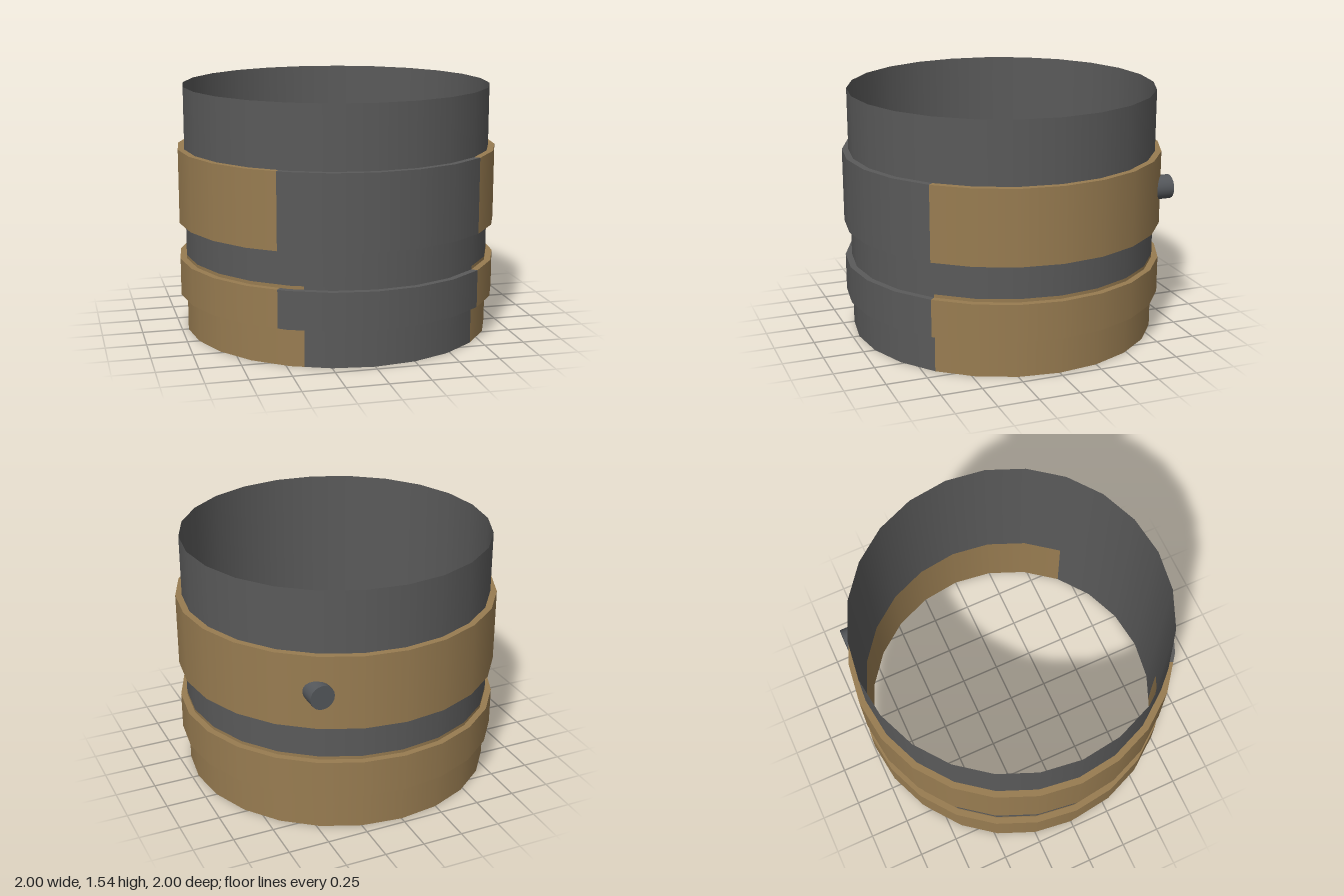
import * as THREE from 'three';

const SIDES = 24;
const BODY_R = 0.96, BAND_R = 1.0;

const grey = new THREE.MeshStandardMaterial({ color: 0x5a5a5a, side: THREE.DoubleSide });
grey.name = 'dark grey';
const brown = new THREE.MeshStandardMaterial({ color: 0x987c51, side: THREE.DoubleSide });
brown.name = 'tan brown';
const steel = new THREE.MeshStandardMaterial({ color: 0x54575b });
steel.name = 'steel grey';

// Point on the unit polygon; t counts sides from the front (+z) towards +x
function polygonPoint(t) {
  const i = Math.floor(t), f = t - i, step = (Math.PI * 2) / SIDES;
  const a = i * step, b = (i + 1) * step;
  return [
    Math.sin(a) * (1 - f) + Math.sin(b) * f,
    Math.cos(a) * (1 - f) + Math.cos(b) * f,
  ];
}

// Sweep a [radius, height] profile round the polygon from t0 to t1
function sweep(name, profile, t0, t1, material) {
  const stops = [t0];
  for (let t = Math.floor(t0) + 1; t < t1; t++) stops.push(t);
  stops.push(t1);
  const pos = [], nor = [], idx = [];
  for (let p = 0; p < profile.length - 1; p++) {
    const [ra, ya] = profile[p], [rb, yb] = profile[p + 1];
    const len = Math.hypot(rb - ra, yb - ya);
    const nr = (yb - ya) / len, ny = (ra - rb) / len;
    const base = pos.length / 3;
    stops.forEach((t, k) => {
      const [x, z] = polygonPoint(t), l = Math.hypot(x, z);
      pos.push(x * ra, ya, z * ra, x * rb, yb, z * rb);
      for (let j = 0; j < 2; j++) nor.push((nr * x) / l, ny, (nr * z) / l);
      if (k > 0) {
        const b = base + 2 * k, a = b - 2;
        idx.push(a, b, b + 1, a, b + 1, a + 1);
      }
    });
  }
  const geo = new THREE.BufferGeometry();
  geo.setAttribute('position', new THREE.Float32BufferAttribute(pos, 3));
  geo.setAttribute('normal', new THREE.Float32BufferAttribute(nor, 3));
  geo.setIndex(idx);
  const mesh = new THREE.Mesh(geo, material);
  mesh.name = name;
  return mesh;
}

// A ring with a grey front panel and brown everywhere else
function twoTone(name, profile, left, right) {
  const group = new THREE.Group();
  group.name = name;
  group.add(
    sweep(name + 'FrontPanel', profile, left, right, grey),
    sweep(name + 'Wrap', profile, right, left + SIDES, brown),
  );
  return group;
}

// Short peg at the back, its inner end fitted to the band
function makePeg() {
  const r = 0.075, px = 0.5, py = 0.925, tip = -0.925;
  const geo = new THREE.CylinderGeometry(r, r, 1, 20, 1);
  geo.rotateX(-Math.PI / 2); // top cap now faces -z
  geo.translate(px, py, 0);
  const p = geo.attributes.position;
  for (let i = 0; i < p.count; i++) {
    const dx = p.getX(i) - px;
    const wall = -0.866 + dx * (dx > 0 ? 0.768 : 0.414) + 0.012;
    p.setZ(i, p.getZ(i) < 0 ? tip : wall);
  }
  const mesh = new THREE.Mesh(geo, steel);
  mesh.name = 'peg';
  return mesh;
}

export function createModel() {
  const model = new THREE.Group();
  model.name = 'bandedTube';

  // Open tube: two-tone lower wall and plain upper wall
  model.add(twoTone('lowerWall', [[BODY_R, 0], [BODY_R, 0.485]], -1.655, 3));
  model.add(sweep('upperWall', [[BODY_R, 0.485], [BODY_R, 1.54]], 0, SIDES, grey));

  // Raised bands
  for (const [name, y0, y1] of [['lowerBand', 0.233, 0.465], ['upperBand', 0.692, 1.155]]) {
    const profile = [[BODY_R, y0], [BAND_R, y0], [BAND_R, y1], [BODY_R, y1]];
    model.add(twoTone(name, profile, -2.24, 3));
  }

  model.add(makePeg());
  return model;
}
